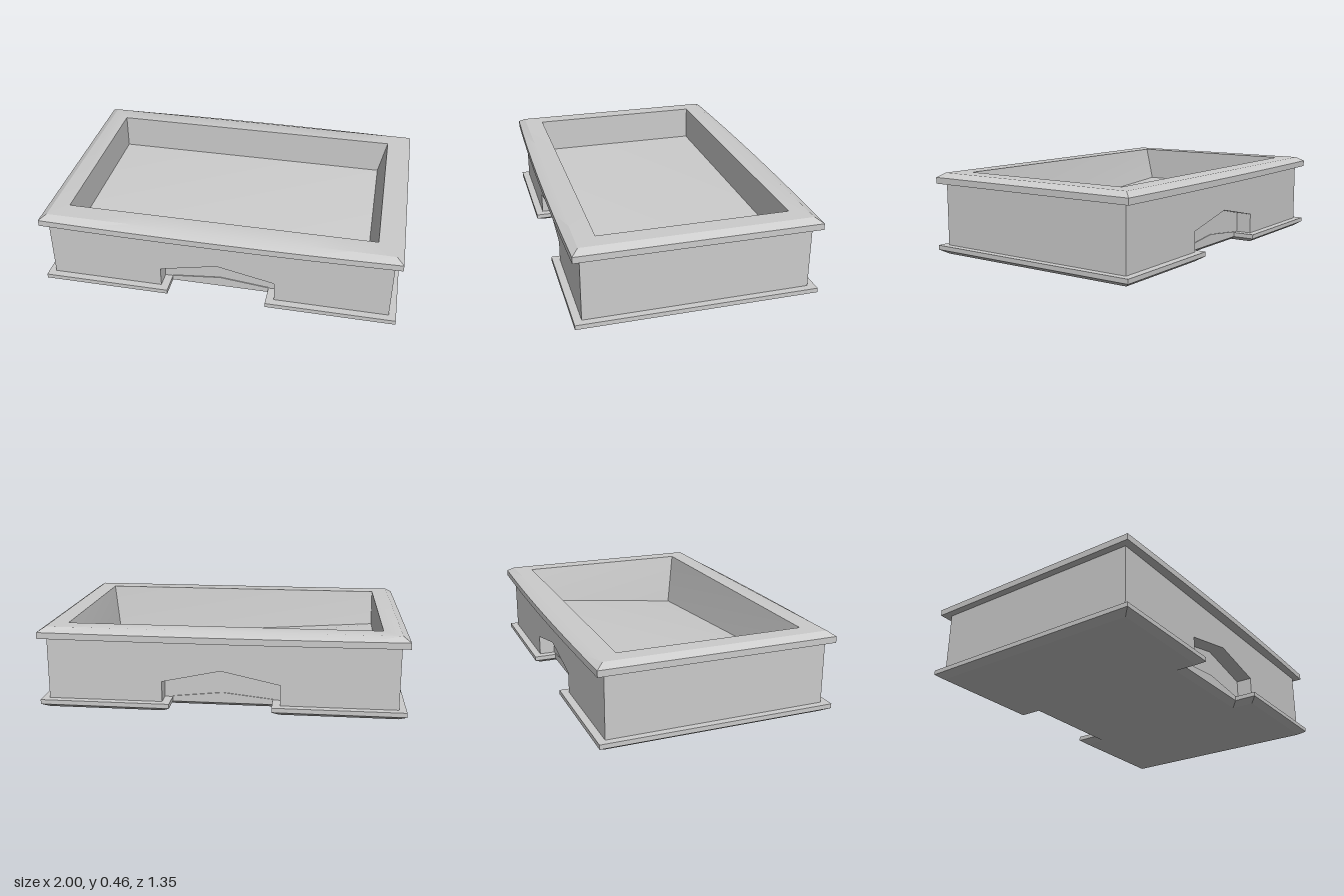
import * as THREE from 'three';
import { toCreasedNormals } from 'three/addons/utils/BufferGeometryUtils.js';

const material = new THREE.MeshStandardMaterial({ color: 0xcccccc });
const thin = new THREE.MeshStandardMaterial({ color: 0xcccccc, side: THREE.DoubleSide });

// Skin between stacked rings of [x, y, z] points, counterclockwise from above
function loft(rings, crease = 0.5) {
  const pos = [];
  for (let r = 0; r < rings.length - 1; r++) {
    const a = rings[r], b = rings[r + 1], n = a.length;
    for (let i = 0; i < n; i++) {
      const j = (i + 1) % n;
      for (const p of [a[i], a[j], b[j], a[i], b[j], b[i]]) pos.push(...p);
    }
  }
  const g = new THREE.BufferGeometry();
  g.setAttribute('position', new THREE.Float32BufferAttribute(pos, 3));
  return toCreasedNormals(g, crease);
}

// Flat lid over a ring
function cap(ring) {
  const shape = new THREE.Shape(ring.map(([x, , z]) => new THREE.Vector2(x, -z)));
  return new THREE.ShapeGeometry(shape).rotateX(-Math.PI / 2).translate(0, ring[0][1], 0);
}

// Rectangle ring whose long sides are split and may bow outward
function rimRing(x0, x1, back, front, y, bow = 0, n = 8) {
  const ring = [];
  for (const s of [1, -1]) {
    for (let i = 0; i <= n; i++) {
      const t = i / n, u = 2 * t - 1;
      const x = s > 0 ? x0 + (x1 - x0) * t : x1 + (x0 - x1) * t;
      ring.push([x, y, (s > 0 ? front : back) + s * bow * (1 - u * u)]);
    }
  }
  return ring;
}

// Base outline with a notch in each long side, shrunk by d
function baseRing(d, y) {
  const X = 1 - d, Z = 0.657 - d, nx = 0.28 + d, nz = 0.53 - d;
  const half = [[-X, Z], [-nx, Z], [-nx, nz], [nx, nz], [nx, Z], [X, Z]];
  return [...half, ...half.map(([x, z]) => [-x, -z])].map(([x, z]) => [x, y, z]);
}

export function createModel() {
  const group = new THREE.Group();
  const add = (name, geometry, mat = material, parent = group) => {
    const mesh = new THREE.Mesh(geometry, mat);
    mesh.name = name;
    parent.add(mesh);
    return mesh;
  };

  // Base plate, chamfered underneath
  const base = [baseRing(0.04, 0), baseRing(0, 0.025), baseRing(0, 0.05)];
  add('baseEdge', loft(base));
  add('baseUnderside', cap(base[0]), thin);
  add('baseTop', cap(base[2]), thin);

  // Long walls with a peaked recess at the foot, front and back
  const wall = new THREE.Shape([
    [-0.96, 0.05], [-0.325, 0.05], [-0.325, 0.165], [0, 0.235], [0.325, 0.165],
    [0.325, 0.05], [0.96, 0.05], [0.96, 0.4], [-0.96, 0.4],
  ].map(p => new THREE.Vector2(...p)));
  const recess = new THREE.Shape([
    [-0.325, 0.05], [0.325, 0.05], [0.325, 0.165], [0, 0.235], [-0.325, 0.165],
  ].map(p => new THREE.Vector2(...p)));
  const ledge = new THREE.Shape([
    [-0.28, 0.045], [0.28, 0.045], [0.28, 0.055], [0, 0.085], [-0.28, 0.055],
  ].map(p => new THREE.Vector2(...p)));
  const extrude = (shape, z, depth) =>
    new THREE.ExtrudeGeometry(shape, { depth, bevelEnabled: false }).translate(0, 0, z);

  for (const side of ['front', 'back']) {
    const part = new THREE.Group();
    part.name = side + 'Wall';
    if (side === 'back') part.rotation.y = Math.PI;
    add('longWall', extrude(wall, 0.525, 0.09), material, part);
    add('recessPanel', new THREE.ShapeGeometry(recess).translate(0, 0, 0.525), thin, part);
    add('recessLedge', extrude(ledge, 0.5, 0.03), material, part);
    group.add(part);
  }

  // Short walls
  for (const s of [1, -1]) {
    const g = new THREE.BoxGeometry(0.08, 0.35, 1.06).translate(s * 0.92, 0.225, 0);
    add(s > 0 ? 'leftWall' : 'rightWall', g);
  }

  // Rim: flat underside, bowed edge, bevel, top up to the opening
  add('rim', loft([
    rimRing(-0.96, 0.96, -0.615, 0.615, 0.4),
    rimRing(-1, 1, -0.66, 0.656, 0.4, 0.016),
    rimRing(-1, 1, -0.66, 0.656, 0.435, 0.016),
    rimRing(-0.96, 0.96, -0.62, 0.62, 0.46),
    rimRing(-0.865, 0.86, -0.52, 0.513, 0.46),
  ]));

  // Tray: two upright walls, two sloping ones, floor dipping at one corner
  const opening = [[-0.865, 0.46, 0.513], [0.86, 0.46, 0.513], [0.86, 0.46, -0.52], [-0.865, 0.46, -0.52]];
  const floor = [[-0.865, 0.255, 0.465], [0.815, 0.142, 0.465], [0.815, 0.255, -0.52], [-0.865, 0.255, -0.52]];
  add('trayWalls', loft([opening, floor]), thin);
  const floorGeometry = new THREE.BufferGeometry();
  floorGeometry.setAttribute('position', new THREE.Float32BufferAttribute(floor.flat(), 3));
  floorGeometry.setIndex([0, 1, 2, 0, 2, 3]);
  floorGeometry.computeVertexNormals();
  add('trayFloor', floorGeometry, thin);

  return group;
}
